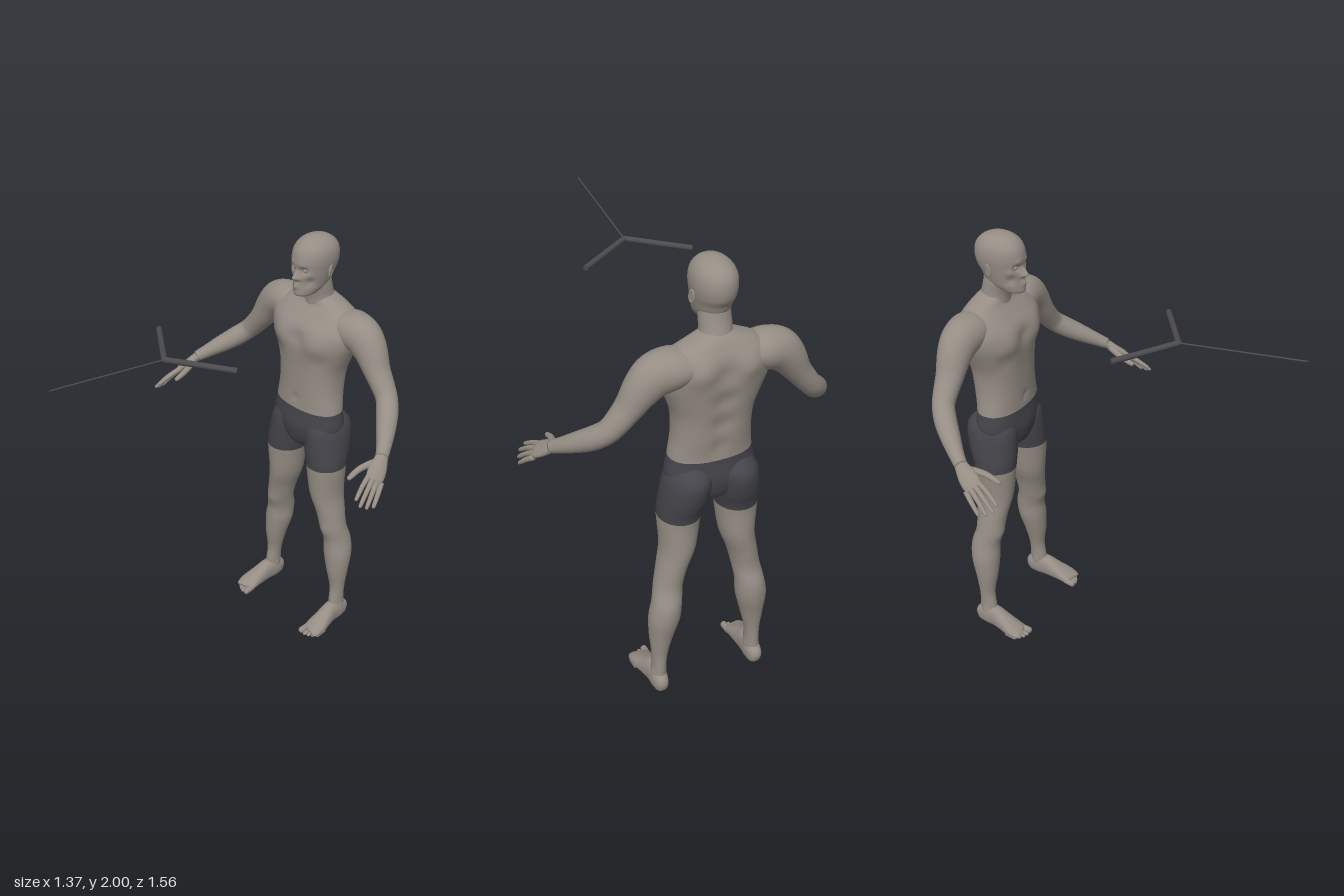
import * as THREE from 'three';

const paint = (name, color) => Object.assign(new THREE.MeshStandardMaterial({ color }), { name });
const V = (a) => new THREE.Vector3(...a);

// Catmull-Rom blend of one number
function spline(a, b, c, d, t) {
  return b + 0.5 * t * (c - a + t * (2 * a - 5 * b + 4 * c - d + t * (3 * (b - c) + d - a)));
}

// Smooth skin through rows of [x, y, z, halfWidth, halfDepth].
// ref: direction the sections are turned by; without it the sections lie level.
// split: row at which the material changes. bumps: [x, y, z, radius, dx, dy, dz].
function loft(rows, { seg = 24, steps = 5, n = 2, ref = null, split = 0, bumps = [] } = {}) {
  const rings = [];
  const last = rows.length - 1;
  for (let i = 0; i <= last * steps; i++) {
    const k = Math.min(Math.floor(i / steps), last - 1);
    const t = i / steps - k;
    const [p, q, r, s] = [Math.max(k - 1, 0), k, k + 1, Math.min(k + 2, last)].map((m) => rows[m]);
    rings.push(q.map((_, m) => spline(p[m], q[m], r[m], s[m], t)));
  }
  const centre = (i) => V(rings[Math.min(Math.max(i, 0), rings.length - 1)].slice(0, 3));
  const pos = [];
  const bend = (c) => Math.sign(c) * Math.abs(c) ** (2 / n);
  const push = (pt) => {
    const out = pt.clone();
    for (const [x, y, z, radius, dx, dy, dz] of bumps) {
      const f = Math.exp(-pt.distanceToSquared(V([x, y, z])) / (2 * radius * radius));
      out.addScaledVector(V([dx, dy, dz]), f);
    }
    pos.push(out.x, out.y, out.z);
  };
  rings.forEach(([, , , a, b], i) => {
    const T = centre(i + 1).sub(centre(i - 1)).normalize();
    const u = ref ? V(ref).cross(T).normalize() : V([1, 0, 0]);
    const v = ref ? T.clone().cross(u) : V([0, 0, T.y > 0 ? -1 : 1]);
    for (let j = 0; j < seg; j++) {
      const w = (j / seg) * Math.PI * 2;
      push(centre(i).addScaledVector(u, a * bend(Math.cos(w))).addScaledVector(v, b * bend(Math.sin(w))));
    }
  });
  const end = rings.length - 1;
  push(centre(0));
  push(centre(end));
  const idx = [];
  const first = rings.length * seg;
  for (let j = 0; j < seg; j++) idx.push(first, (j + 1) % seg, j);
  for (let i = 0; i < end; i++) {
    for (let j = 0; j < seg; j++) {
      const a = i * seg + j, b = i * seg + ((j + 1) % seg);
      idx.push(a, b, b + seg, a, b + seg, a + seg);
    }
  }
  for (let j = 0; j < seg; j++) idx.push(first + 1, end * seg + j, end * seg + ((j + 1) % seg));
  const geo = new THREE.BufferGeometry();
  geo.setAttribute('position', new THREE.Float32BufferAttribute(pos, 3));
  geo.setIndex(idx);
  geo.computeVertexNormals();
  if (split) {
    const cut = seg * 3 + split * steps * seg * 6;
    geo.addGroup(0, cut, 0);
    geo.addGroup(cut, idx.length - cut, 1);
  }
  return geo;
}

const mirrored = (list) => list.flatMap((b) => (b[0] === 0 ? [b] : [b, [-b[0], ...b.slice(1, 4), -b[4], b[5], b[6]]]));

export function createModel() {
  const model = new THREE.Group();
  const skin = paint('skin', 0x968e85);
  const cloth = paint('shorts cloth', 0x45444a);
  const metal = paint('dark metal', 0x4b4a4d);
  const add = (name, geo, mat, parent = model) => {
    const mesh = new THREE.Mesh(geo, mat);
    mesh.name = name;
    parent.add(mesh);
    return mesh;
  };

  // Torso, with the upper part of the shorts below the waist
  add('torso', loft([
    [0, 0.965, -0.63, 0.03, 0.05], [0, 1.0, -0.63, 0.09, 0.09], [0, 1.08, -0.632, 0.183, 0.106],
    [0, 1.18, -0.63, 0.175, 0.1], [0, 1.28, -0.635, 0.163, 0.107], [0, 1.38, -0.638, 0.168, 0.114],
    [0, 1.46, -0.64, 0.195, 0.122], [0, 1.53, -0.643, 0.222, 0.126], [0, 1.59, -0.65, 0.23, 0.122],
    [0, 1.64, -0.662, 0.215, 0.1], [0, 1.68, -0.668, 0.16, 0.076], [0, 1.705, -0.665, 0.1, 0.064],
    [0, 1.725, -0.66, 0.055, 0.05],
  ], {
    seg: 72, steps: 6, n: 2.3, split: 3,
    bumps: mirrored([
      [0.1, 1.53, -0.53, 0.045, 0, 0, 0.014], [0, 1.54, -0.52, 0.025, 0, 0, -0.01],
      [0, 1.25, -0.75, 0.03, 0, 0, 0.012], [0, 1.35, -0.755, 0.035, 0, 0, 0.016],
      [0, 1.46, -0.765, 0.035, 0, 0, 0.016], [0, 1.58, -0.77, 0.035, 0, 0, 0.016],
      [0.1, 1.6, -0.76, 0.04, 0, 0, -0.014], [0, 1.235, -0.53, 0.01, 0, 0, -0.01],
      [0.12, 1.45, -0.55, 0.03, 0, 0, -0.008], [0, 1.09, -0.53, 0.035, 0, 0, 0.006],
    ]),
  }), [cloth, skin]);

  // Neck and head with modelled face
  add('neck', loft([
    [0, 1.63, -0.665, 0.09, 0.07], [0, 1.68, -0.657, 0.076, 0.066], [0, 1.72, -0.651, 0.065, 0.064],
    [0, 1.77, -0.637, 0.063, 0.064], [0, 1.83, -0.62, 0.06, 0.07],
  ], { seg: 36 }), skin);
  add('head', loft([
    [0, 1.74, -0.55, 0.02, 0.025], [0, 1.75, -0.56, 0.044, 0.05], [0, 1.775, -0.584, 0.06, 0.077],
    [0, 1.8, -0.6, 0.068, 0.092], [0, 1.83, -0.606, 0.075, 0.1], [0, 1.86, -0.614, 0.081, 0.11],
    [0, 1.9, -0.616, 0.086, 0.115], [0, 1.94, -0.616, 0.082, 0.108], [0, 1.97, -0.615, 0.066, 0.086],
    [0, 1.991, -0.612, 0.038, 0.05], [0, 2.0, -0.61, 0.002, 0.002],
  ], {
    seg: 96, steps: 8, n: 2.1,
    bumps: mirrored([
      [0, 1.832, -0.506, 0.009, 0, 0, 0.024], [0, 1.85, -0.505, 0.009, 0, 0, 0.012],
      [0.013, 1.828, -0.507, 0.007, 0, 0, 0.008], [0.031, 1.866, -0.51, 0.012, 0, 0, -0.014],
      [0.028, 1.888, -0.505, 0.012, 0, 0, 0.005], [0, 1.799, -0.508, 0.011, 0, 0, 0.01],
      [0, 1.786, -0.508, 0.01, 0, 0, 0.008], [0, 1.757, -0.51, 0.014, 0, 0, 0.008],
      [0.05, 1.815, -0.535, 0.014, -0.004, 0, -0.006], [0.05, 1.845, -0.53, 0.014, 0.003, 0, 0.003],
    ]),
  }), skin);

  // Everything that comes in pairs
  const across = [0.68, 0.72, 0.18];
  for (const s of [1, -1]) {
    const side = s > 0 ? 'left' : 'right';
    const flip = (rows) => rows.map(([x, ...rest]) => [s * x, ...rest]);
    const limb = (name, rows, opts = {}, mat = skin) =>
      add(side + name, loft(flip(rows), { ...opts, ref: opts.ref && [s * opts.ref[0], opts.ref[1], opts.ref[2]] }), mat);

    const eye = add(side + 'Eye', new THREE.SphereGeometry(0.0105, 16, 12), skin);
    eye.position.set(s * 0.031, 1.866, -0.524);
    const ear = new THREE.Group();
    ear.name = side + 'Ear';
    ear.position.set(s * 0.086, 1.853, -0.622);
    ear.rotation.set(-0.15, s * (Math.PI / 2 + 0.3), 0);
    model.add(ear);
    add('earRim', new THREE.TorusGeometry(0.013, 0.0045, 8, 20), skin, ear).scale.set(1, 1.75, 1);
    add('earInner', new THREE.SphereGeometry(0.013, 14, 10), skin, ear).scale.set(0.9, 1.6, 0.3);

    limb('Arm', [
      [0.1, 1.61, -0.678, 0.055, 0.08], [0.18, 1.607, -0.672, 0.08, 0.09], [0.25, 1.59, -0.67, 0.086, 0.082],
      [0.3, 1.545, -0.668, 0.075, 0.073], [0.35, 1.472, -0.662, 0.056, 0.062], [0.395, 1.415, -0.657, 0.049, 0.054],
      [0.432, 1.372, -0.645, 0.046, 0.049], [0.475, 1.33, -0.605, 0.046, 0.048], [0.52, 1.29, -0.55, 0.04, 0.042],
      [0.56, 1.255, -0.497, 0.031, 0.033], [0.588, 1.23, -0.455, 0.025, 0.028],
    ], { seg: 32, ref: [0, 0, 1] });
    // Hand
    limb('Palm', [
      [0.575, 1.243, -0.475, 0.025, 0.021], [0.59, 1.225, -0.45, 0.03, 0.021], [0.605, 1.203, -0.418, 0.039, 0.019],
      [0.62, 1.182, -0.385, 0.041, 0.017], [0.629, 1.168, -0.365, 0.034, 0.011],
    ], { seg: 24, ref: across });
    const fingers = {
      IndexFinger: [[0.602, 1.193, -0.372], [0.618, 1.165, -0.31], [0.637, 1.128, -0.25]],
      MiddleFinger: [[0.619, 1.18, -0.374], [0.641, 1.147, -0.312], [0.66, 1.104, -0.252]],
      RingFinger: [[0.634, 1.168, -0.382], [0.656, 1.132, -0.328], [0.674, 1.09, -0.278]],
      LittleFinger: [[0.647, 1.155, -0.395], [0.667, 1.121, -0.352], [0.682, 1.084, -0.312]],
      Thumb: [[0.582, 1.217, -0.43], [0.557, 1.2, -0.36], [0.553, 1.175, -0.288]],
    };
    for (const [name, [a, b, c]] of Object.entries(fingers)) {
      const r = name === 'Thumb' ? 0.014 : 0.0105;
      const near = c.map((p, i) => p + (b[i] - p) * 0.15);
      limb(name, [[...a, r * 1.15, r * 1.15], [...b, r, r], [...near, r * 0.75, r * 0.75], [...c, 0.002, 0.002]],
        { seg: 12, steps: 4, ref: across });
    }

    // Leg, with the leg of the shorts above
    limb('Leg', [
      [0.085, 1.165, -0.64, 0.05, 0.06], [0.098, 1.1, -0.65, 0.09, 0.117], [0.112, 1.0, -0.642, 0.097, 0.117],
      [0.127, 0.9, -0.628, 0.09, 0.099], [0.134, 0.75, -0.635, 0.074, 0.09], [0.159, 0.65, -0.641, 0.064, 0.076],
      [0.178, 0.56, -0.648, 0.061, 0.067], [0.192, 0.48, -0.668, 0.063, 0.069], [0.202, 0.4, -0.668, 0.067, 0.068],
      [0.213, 0.3, -0.662, 0.052, 0.054], [0.22, 0.2, -0.663, 0.035, 0.039], [0.223, 0.12, -0.66, 0.031, 0.043],
      [0.225, 0.05, -0.66, 0.033, 0.045],
    ], {
      seg: 40, split: 3,
      bumps: [[s * 0.18, 0.55, -0.585, 0.025, 0, 0, 0.007], [s * 0.255, 0.085, -0.665, 0.012, s * 0.006, 0, 0],
        [s * 0.19, 0.095, -0.66, 0.012, -s * 0.006, 0, 0]],
    }, [cloth, skin]);

    // Foot and toes
    limb('Foot', [
      [0.225, 0.04, -0.725, 0.012, 0.015], [0.225, 0.044, -0.71, 0.028, 0.04], [0.225, 0.053, -0.67, 0.037, 0.053],
      [0.227, 0.057, -0.62, 0.037, 0.057], [0.232, 0.044, -0.565, 0.043, 0.044], [0.237, 0.031, -0.515, 0.05, 0.031],
      [0.236, 0.021, -0.477, 0.049, 0.02], [0.234, 0.016, -0.465, 0.04, 0.012],
    ], { seg: 28, ref: [0, 1, 0], n: 2.3 });
    [0.2, 0.224, 0.243, 0.26, 0.276].forEach((x, i) => {
      const r = i ? 0.0105 - i * 0.0006 : 0.0155;
      const z = -0.432 - 0.0025 * i * i;
      limb('Toe' + (i + 1), [
        [x, r + 0.005, z - 0.06, r * 0.9, r], [x, r + 0.001, z - 0.016, r, r],
        [x, r, z - 0.005, r * 0.8, r * 0.8], [x, r, z, 0.002, 0.002],
      ], { seg: 12, steps: 4, ref: [0, 1, 0] });
    });
  }

  // Floating three-armed piece: two thick bars and one thin rod
  const hub = [0, 1.704, 0.23];
  const bar = (name, to, r) => {
    const dir = V(to).sub(V(hub));
    const mesh = add(name, new THREE.CylinderGeometry(r, r, dir.length(), 16), metal);
    mesh.position.copy(V(hub)).addScaledVector(dir, 0.5);
    mesh.quaternion.setFromUnitVectors(V([0, 1, 0]), dir.normalize());
  };
  bar('leftBar', [0.24, 1.69, 0.058], 0.0125);
  bar('rightBar', [-0.24, 1.69, 0.058], 0.0125);
  bar('thinRod', [0, 1.775, 0.778], 0.0035);
  add('hub', new THREE.SphereGeometry(0.0125, 16, 12), metal).position.set(...hub);

  return model;
}
